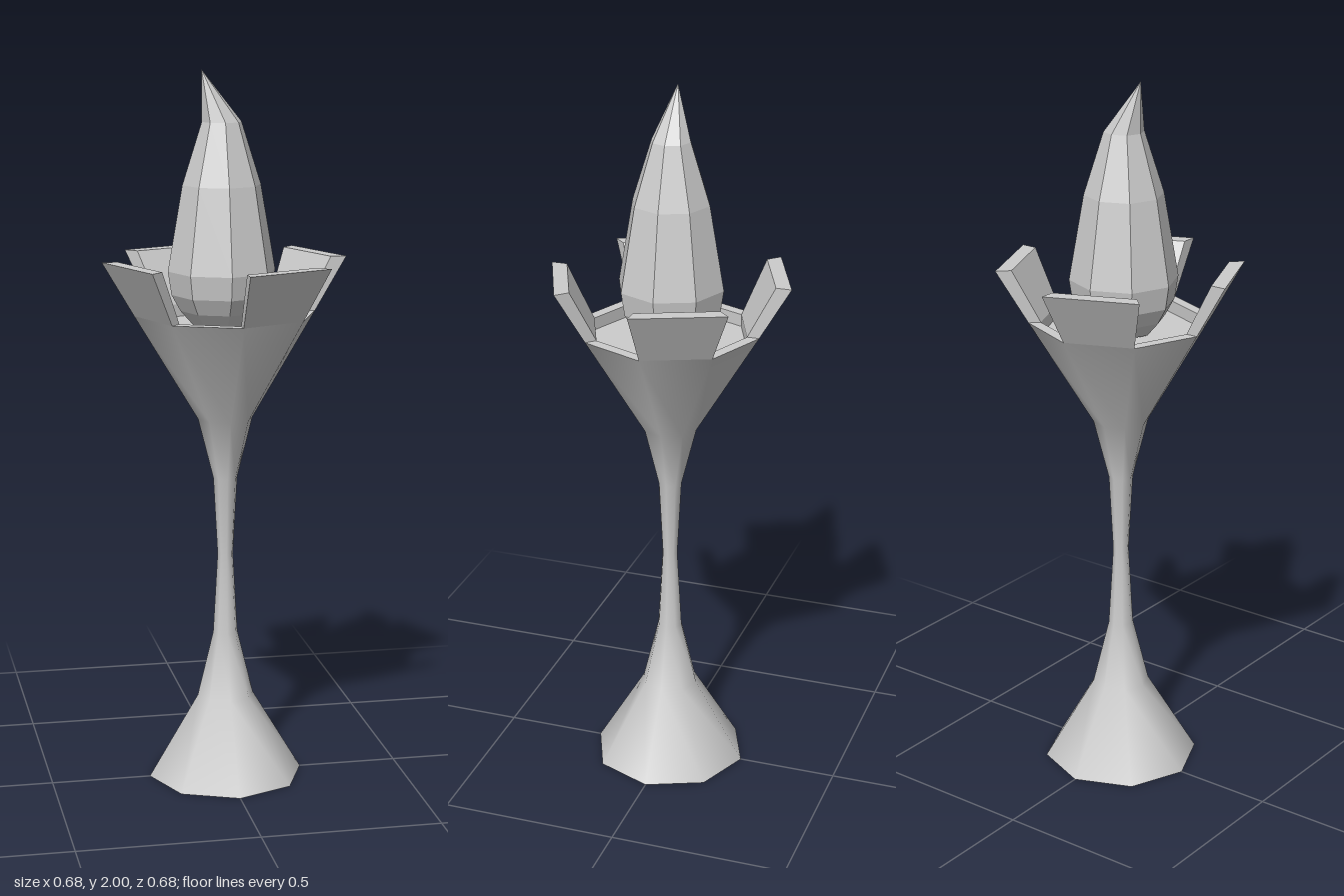
import * as THREE from 'three';

const SIDES = 8;
const RIM_Y = 1.335;

const material = (flat) => new THREE.MeshStandardMaterial({ color: 0xcccccc, flatShading: flat });

function addMesh(group, name, geometry, flat = true) {
  const mesh = new THREE.Mesh(geometry, material(flat));
  mesh.name = name;
  group.add(mesh);
  return mesh;
}

// Eight-sided turned form from [radius, height] pairs
function turned(profile) {
  return new THREE.LatheGeometry(profile.map(([r, y]) => new THREE.Vector2(r, y)), SIDES);
}

// Move every vertex of a geometry by a rule
function reshape(geometry, rule) {
  const p = geometry.attributes.position;
  const v = new THREE.Vector3();
  for (let i = 0; i < p.count; i++) {
    rule(v.fromBufferAttribute(p, i));
    p.setXYZ(i, v.x, v.y, v.z);
  }
  geometry.computeVertexNormals();
  return geometry;
}

// Flared plate over one side of the rim, leaning outward
function petalGeometry() {
  return reshape(new THREE.BoxGeometry(1, 1, 1), (v) => {
    const top = v.y > 0;
    const outer = v.z > 0;
    const r = outer ? (top ? 0.342 : 0.254) : (top ? 0.298 : 0.22);
    const angle = (v.x + 0.5) * Math.PI / 4;
    v.set(Math.sin(angle) * r, top ? 1.485 : RIM_Y, Math.cos(angle) * r);
  });
}

export function createModel() {
  const group = new THREE.Group();
  group.name = 'torch';

  // Smooth stem, flaring to foot and bowl
  addMesh(group, 'stem', turned([
    [0.22, 0], [0.08, 0.235], [0.035, 0.42], [0.022, 0.65],
    [0.034, 0.87], [0.077, 1.04], [0.254, RIM_Y],
  ]), false);

  // Underside of the foot
  addMesh(group, 'footBase', new THREE.CircleGeometry(0.22, SIDES).rotateX(Math.PI / 2));

  // Flat rim and shallow recessed floor
  addMesh(group, 'bowlRim', turned([
    [0.254, RIM_Y], [0.22, RIM_Y], [0.22, 1.3], [0, 1.3],
  ]));

  // Four petals on alternate sides
  const petal = petalGeometry();
  for (let i = 0; i < 4; i++) {
    addMesh(group, `petal${i + 1}`, petal).rotation.y = i * Math.PI / 2;
  }

  // Faceted flame with its tip bent to the right
  const flame = turned([
    [0, 1.3], [0.08, 1.305], [0.115, 1.345], [0.14, 1.39],
    [0.15, 1.455], [0.109, 1.69], [0.055, 1.86], [0, 2],
  ]);
  addMesh(group, 'flame', reshape(flame, (v) => {
    v.x -= v.y > 1.95 ? 0.065 : 0.01;
  }));

  return group;
}
